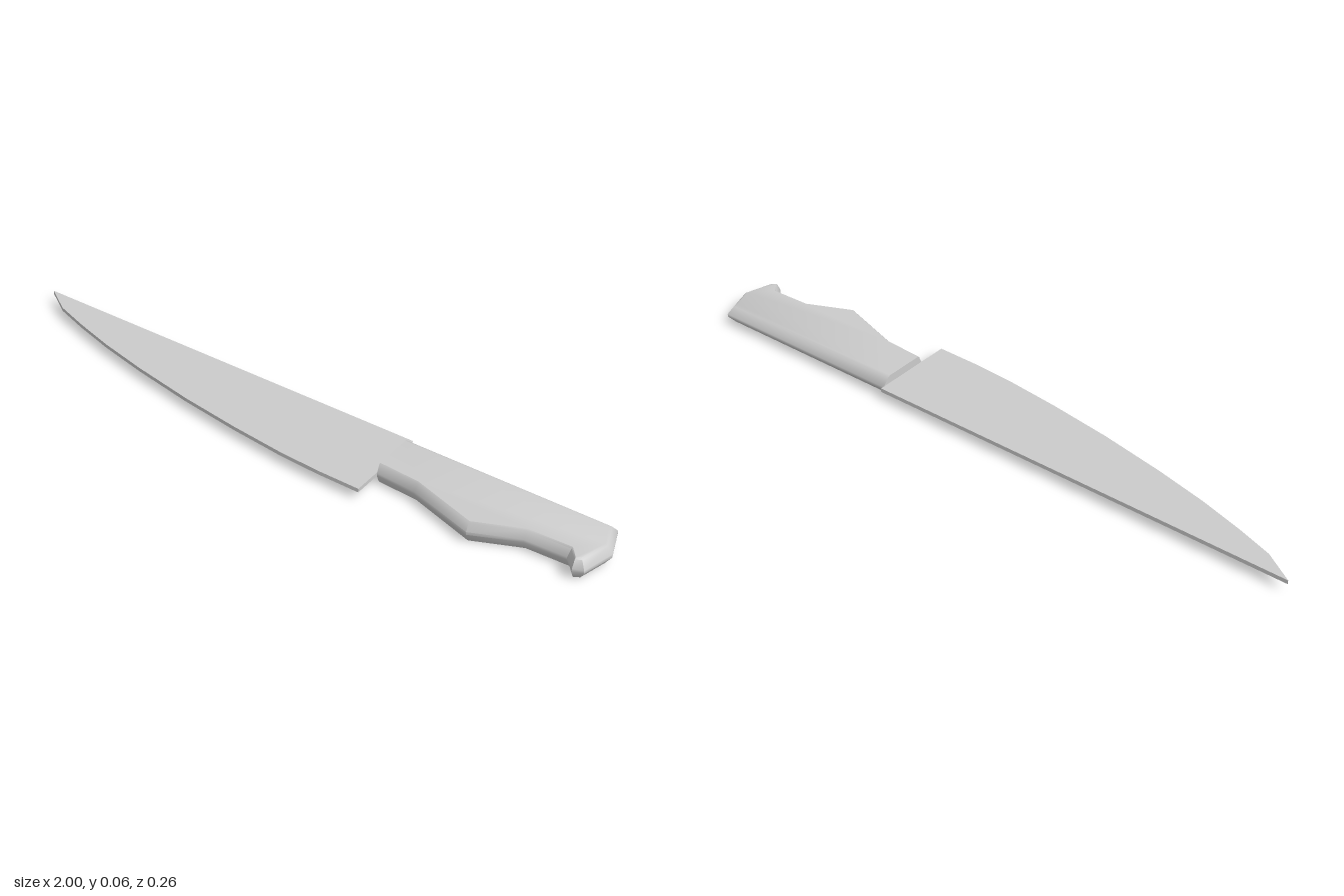
import * as THREE from 'three';
import { toCreasedNormals } from 'three/addons/utils/BufferGeometryUtils.js';

const MID = 0.0335; // height of the centre plane

// Flat blade: [x, z] outline, spine at -z, cutting edge at +z
function bladeGeometry() {
  const outline = [
    [-1, -0.133], [-0.91, -0.075], [-0.8, -0.038], [-0.665, 0.001], [-0.505, 0.038],
    [-0.3, 0.077], [-0.105, 0.105], [0.07, 0.124], [0.2, 0.131], [0.333, 0.132], [0.333, -0.133],
  ];
  const shape = new THREE.Shape(outline.map(([x, z]) => new THREE.Vector2(x, -z)));
  const thick = 0.012;
  const g = new THREE.ExtrudeGeometry(shape, { depth: thick, bevelEnabled: false });
  g.rotateX(-Math.PI / 2);
  g.translate(0, MID - thick / 2, 0);
  return g;
}

// Grip: stacked outlines that swell from the flat faces to the widest line
function gripGeometry() {
  // [x, z] at the middle, then [x, z] on the flat faces
  const rim = [
    [0.333, -0.122, 0.333, -0.093], [0.967, -0.122, 0.952, -0.093],
    [1.0, -0.028, 0.978, -0.026], [0.972, 0.07, 0.955, 0.058],
    [0.943, 0.08, 0.943, 0.066], [0.912, 0.048, 0.918, 0.034],
    [0.79, 0.053, 0.79, 0.039], [0.655, 0.114, 0.655, 0.1],
    [0.457, 0.052, 0.46, 0.038], [0.333, 0.043, 0.333, 0.03],
  ];
  // [height, inset fraction]
  const layers = [[0, 1], [0.004, 0.72], [0.028, 0], [0.037, 0], [0.06, 0.72], [0.064, 1]];
  const n = rim.length;
  const pos = [], index = [];
  for (const [y, t] of layers)
    for (const [x, z, xi, zi] of rim)
      pos.push(x + (xi - x) * t, y, z + (zi - z) * t);
  for (let j = 0; j < layers.length - 1; j++)
    for (let i = 0; i < n; i++) {
      const a = j * n + i, b = j * n + (i + 1) % n, c = a + n, d = b + n;
      index.push(a, c, b, b, c, d);
    }
  // Flat bottom and top faces
  const flat = rim.map((p) => new THREE.Vector2(p[2], p[3]));
  const top = (layers.length - 1) * n;
  for (const [a, b, c] of THREE.ShapeUtils.triangulateShape(flat, []))
    index.push(a, b, c, top + a, top + c, top + b);
  const g = new THREE.BufferGeometry();
  g.setAttribute('position', new THREE.Float32BufferAttribute(pos, 3));
  g.setIndex(index);
  return toCreasedNormals(g, 0.75);
}

export function createModel() {
  const group = new THREE.Group();
  group.name = 'kitchenKnife';
  const material = new THREE.MeshStandardMaterial({ color: 0xcccccc });
  const add = (name, geometry) => {
    const mesh = new THREE.Mesh(geometry, material);
    mesh.name = name;
    group.add(mesh);
  };
  add('blade', bladeGeometry());
  add('handle', gripGeometry());
  return group;
}
